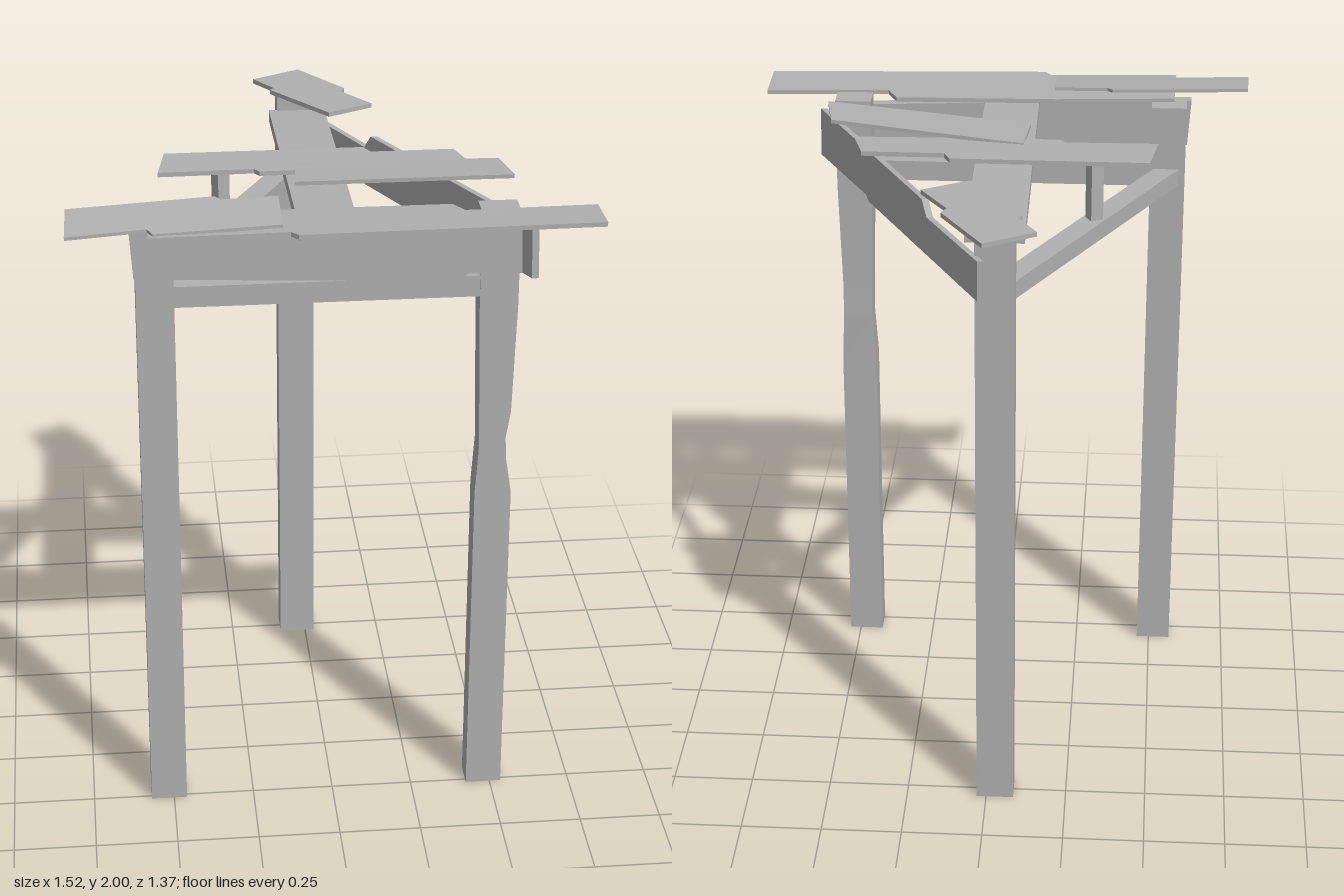
import * as THREE from 'three';

const wood = new THREE.MeshStandardMaterial({ color: 0xb0b0b0 });
wood.name = 'grey wood';

export function createModel() {
  const model = new THREE.Group();
  model.name = 'ruinedShelter';

  const add = (name, geometry) => {
    const flat = geometry.index ? geometry.toNonIndexed() : geometry;
    flat.computeVertexNormals();
    const mesh = new THREE.Mesh(flat, wood);
    mesh.name = name;
    model.add(mesh);
    return mesh;
  };

  // Box given by its minimum and maximum corners
  const box = (name, x0, x1, y0, y1, z0, z1) => {
    const g = new THREE.BoxGeometry(x1 - x0, y1 - y0, z1 - z0);
    return add(name, g.translate((x0 + x1) / 2, (y0 + y1) / 2, (z0 + z1) / 2));
  };

  const extrude = (points, depth) => new THREE.ExtrudeGeometry(
    new THREE.Shape(points.map(([x, y]) => new THREE.Vector2(x, y))),
    { depth, bevelEnabled: false });

  // Move every vertex by a rule
  const bend = (geometry, rule) => {
    const p = geometry.attributes.position;
    const v = new THREE.Vector3();
    for (let i = 0; i < p.count; i++) {
      rule(v.fromBufferAttribute(p, i));
      p.setXYZ(i, v.x, v.y, v.z);
    }
    return geometry;
  };

  // Lying board: outline in x and z, underside height as a function of x and z
  const board = (name, outline, thickness, height) => {
    const g = extrude(outline.map(([x, z]) => [x, -z]), thickness).rotateX(-Math.PI / 2);
    return add(name, bend(g, v => { v.y += height(v.x, v.z); }));
  };

  // Straight posts
  box('frontRightPost', -0.57, -0.46, 0, 1.95, 0.43, 0.515);
  box('backPost', -0.085, 0.03, 0, 1.96, -0.545, -0.46);

  // Worn post: rings of five corners, hacked away in the middle
  const ring = (y, x0, x1) => [[x0, y, 0.515], [x1, y, 0.515], [x1, y, 0.431], [x1, y, 0.43], [x0, y, 0.43]];
  const rings = [
    ring(0, 0.425, 0.535),
    ring(1.04, 0.425, 0.535),
    [[0.435, 1.2, 0.515], [0.51, 1.2, 0.515], [0.51, 1.2, 0.465], [0.528, 1.2, 0.427], [0.435, 1.2, 0.43]],
    ring(1.31, 0.432, 0.527),
    ring(1.66, 0.424, 0.537),
    ring(1.95, 0.424, 0.537),
  ];
  const corners = [];
  const tri = (...pts) => pts.forEach(p => corners.push(...p));
  for (let r = 0; r < rings.length - 1; r++) {
    for (let i = 0; i < 5; i++) {
      const j = (i + 1) % 5, a = rings[r], b = rings[r + 1];
      tri(a[i], a[j], b[j], a[i], b[j], b[i]);
    }
  }
  const top = rings[rings.length - 1], base = rings[0];
  for (let i = 1; i < 4; i++) {
    tri(top[0], top[i], top[i + 1]);
    tri(base[0], base[i + 1], base[i]);
  }
  const worn = new THREE.BufferGeometry();
  worn.setAttribute('position', new THREE.Float32BufferAttribute(corners, 3));
  add('wornFrontLeftPost', worn);

  // Lower rails and the short strut standing on the slanted one
  box('frontRail', -0.46, 0.425, 1.685, 1.75, 0.435, 0.51);
  board('sideRail', [[-0.073, -0.46], [0.007, -0.46], [-0.47, 0.43], [-0.55, 0.43]], 0.055, () => 1.69);
  const strut = box('strut', -0.02, 0.02, 1.74, 1.94, -0.02, 0.02);
  strut.position.set(-0.295, 0, 0.03);
  strut.rotation.y = 0.49;

  // Upright beam across the front
  add('frontBeam', extrude([[-0.575, 1.795], [0, 1.768], [0.36, 1.755], [0.385, 1.775],
    [0.54, 1.77], [0.535, 1.905], [0, 1.925], [-0.585, 1.945]], 0.033).translate(0, 0, 0.515));

  // Thin upright plank from the worn post to the back post
  const side = extrude([[-0.51, 1.735], [-0.17, 1.745], [-0.15, 1.73], [0.585, 1.745],
    [0.585, 1.87], [0.26, 1.86], [0.23, 1.905], [-0.505, 1.895]], 0.02).rotateY(Math.PI / 2);
  add('sidePlank', bend(side, v => { v.x += 0.525 * (v.z + 0.585); }));

  // Sloping centre beam
  board('centreBeam', [[-0.11, -0.47], [0.065, -0.47], [0.065, 0.59], [-0.105, 0.59]], 0.037,
    (x, z) => 1.877 + 0.032 * (z + 0.47));

  // Loose, broken roof boards
  board('frontRoofBoard', [[-0.535, 0.67], [-0.53, 0.485], [-0.16, 0.465], [0.345, 0.46], [0.375, 0.515],
    [0.76, 0.5], [0.76, 0.652], [-0.115, 0.68], [-0.135, 0.655]], 0.014,
  (x, z) => 1.949 - 0.006 * x + 0.05 * (z - 0.57));
  board('cornerRoofBoard', [[-0.76, 0.495], [-0.335, 0.45], [-0.32, 0.47], [-0.155, 0.46],
    [-0.155, 0.625], [-0.52, 0.655], [-0.535, 0.625], [-0.765, 0.655]], 0.01,
  (x, z) => 1.99 - 0.12 * (z - 0.455));
  board('middleRoofBoard', [[-0.46, -0.025], [0.14, -0.025], [0.16, 0.015], [0.41, 0.015], [0.445, 0.133],
    [0.2, 0.14], [-0.185, 0.147], [-0.2, 0.125], [-0.485, 0.13]], 0.014, () => 1.937);
  board('slantedRoofBoard', [[-0.075, 0.1], [0.04, 0.115], [0.52, 0.185], [0.545, 0.33], [-0.09, 0.255]], 0.012,
    (x, z) => 1.945 + 0.045 * (x + 0.08) + 0.02 * (z - 0.2));
  board('backRoofBoard', [[-0.15, -0.6], [0, -0.685], [0.13, -0.485], [0.115, -0.455], [0.2, -0.33],
    [0.06, -0.255], [-0.105, -0.49], [-0.09, -0.505]], 0.014, (x, z) => 1.96 + 0.02 * (z + 0.5));

  return model;
}
